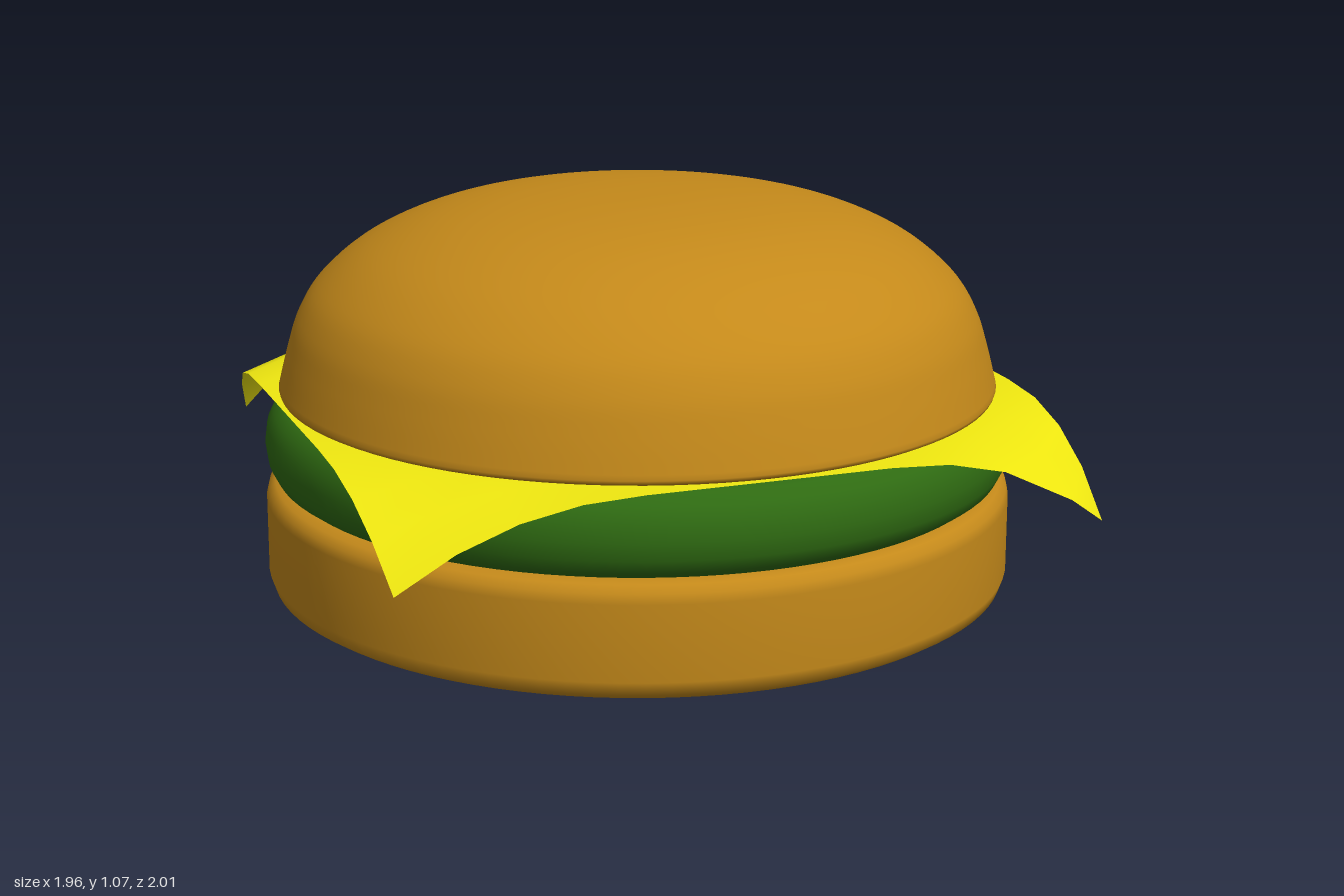
import * as THREE from 'three';

const CENTRE_Z = -0.02;

// Smooth round layer from a [radius, height] profile, listed bottom to top
function roundLayer(name, color, profile) {
  const points = profile.map(([r, y]) => new THREE.Vector2(r, y));
  const mesh = new THREE.Mesh(
    new THREE.LatheGeometry(points, 96),
    new THREE.MeshStandardMaterial({ color })
  );
  mesh.name = name;
  mesh.position.z = CENTRE_Z;
  return mesh;
}

// Square slice whose four corners droop over the filling
function cheeseSlice() {
  const half = 0.94;
  const geometry = new THREE.PlaneGeometry(2, 2, 12, 12).rotateX(-Math.PI / 2);
  // Pull on each corner: x, z and downward
  const pulls = {
    frontRight: [0.02, -0.02, 0.185],
    frontLeft: [-0.07, 0.025, 0.185],
    backRight: [0.08, 0.075, 0.215],
    backLeft: [-0.01, 0.025, 0.215],
  };
  const pos = geometry.attributes.position;
  for (let i = 0; i < pos.count; i++) {
    const u = pos.getX(i), v = pos.getZ(i);
    const t = Math.max(0, (Math.abs(u) + Math.abs(v) - 1.35) / 0.65);
    const [dx, dz, drop] = pulls[(v > 0 ? 'front' : 'back') + (u > 0 ? 'Left' : 'Right')];
    // Small outward curl beside the front left corner
    const curl = 0.09 * Math.exp(-(((u - 0.83) / 0.1) ** 2) - ((v - 1) / 0.2) ** 2);
    pos.setXYZ(
      i,
      half * u + dx * t * t,
      0.55 - drop * t ** 2.2,
      half * v - 0.035 + dz * t * t + curl
    );
  }
  geometry.computeVertexNormals();
  const mesh = new THREE.Mesh(
    geometry,
    new THREE.MeshStandardMaterial({ color: 0xf0e810, side: THREE.DoubleSide })
  );
  mesh.name = 'cheeseSlice';
  return mesh;
}

export function createModel() {
  const group = new THREE.Group();
  group.name = 'burger';
  const bunColor = 0xc4891a;

  group.add(roundLayer('bottomBun', bunColor, [
    [0, 0], [0.6, 0.01], [0.88, 0.022], [0.94, 0.032], [0.968, 0.05], [0.98, 0.085],
    [0.98, 0.28], [0.974, 0.305], [0.957, 0.323], [0.93, 0.33], [0.9, 0.33], [0, 0.33],
  ]));

  group.add(roundLayer('lettuceLayer', 0x2f6b12, [
    [0, 0.325], [0.92, 0.325], [0.955, 0.35], [0.973, 0.385], [0.979, 0.43],
    [0.973, 0.475], [0.955, 0.513], [0.925, 0.538], [0.88, 0.545], [0, 0.545],
  ]));

  group.add(cheeseSlice());

  // Domed top, smoothed through a few points above its rim
  const dome = new THREE.SplineCurve([
    [0.94, 0.572], [0.915, 0.67], [0.885, 0.76], [0.83, 0.845], [0.72, 0.935],
    [0.57, 1.003], [0.4, 1.043], [0.2, 1.063], [0, 1.068],
  ].map(([r, y]) => new THREE.Vector2(r, y)));
  const domePoints = dome.getPoints(40).map((p) => [Math.max(0, p.x), p.y]);
  group.add(roundLayer('topBun', bunColor, [
    [0, 0.555], [0.9, 0.555], [0.925, 0.557], [0.937, 0.563], ...domePoints,
  ]));

  return group;
}
